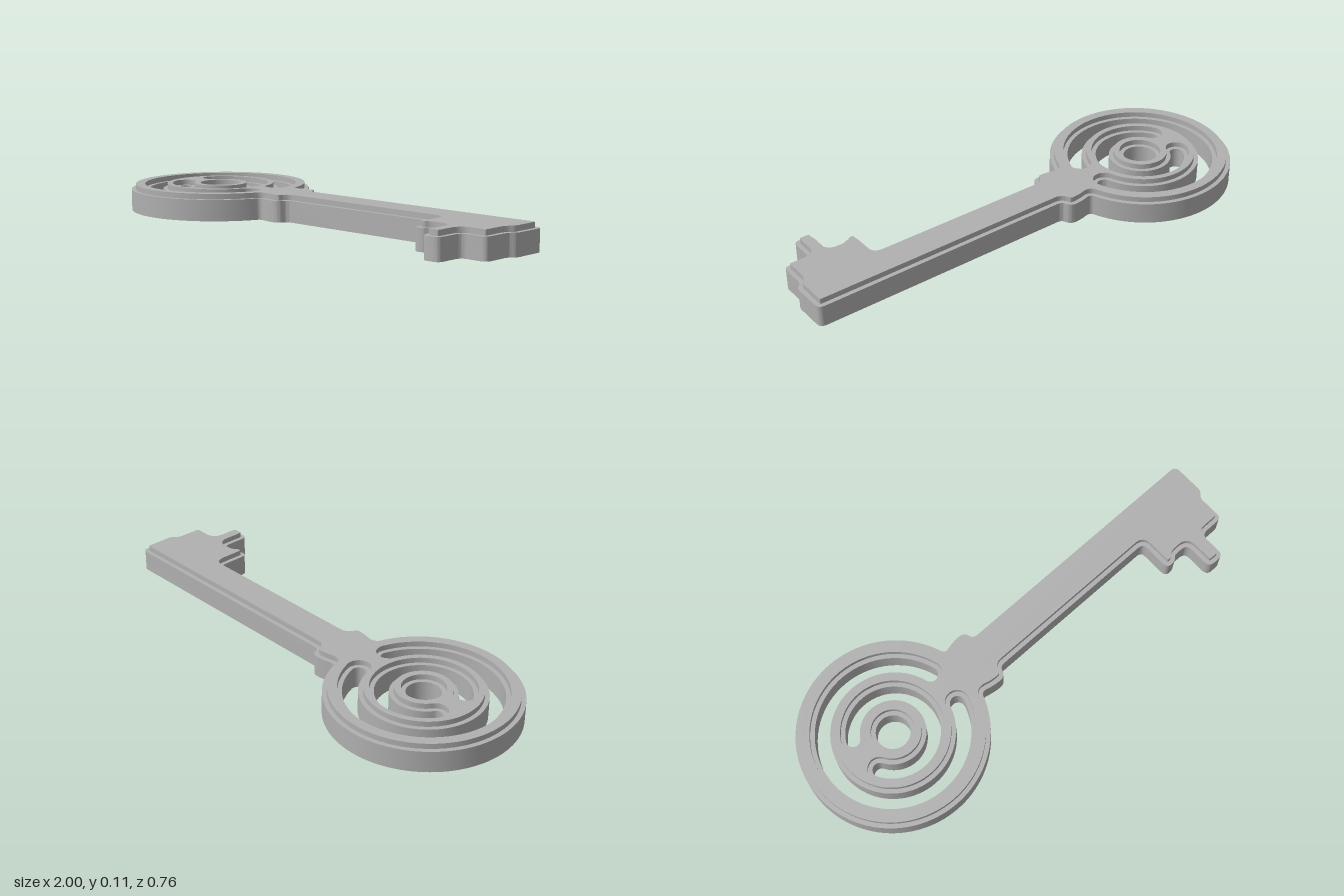
import * as THREE from 'three';
import { toCreasedNormals } from 'three/addons/utils/BufferGeometryUtils.js';

const BOW_X = -0.62;   // centre of the round bow
const BOW_R = 0.38;
const BASE_H = 0.088;  // height of the wide lower layer
const TOP_H = 0.11;    // height of the raised face
const INSET = 0.018;   // step between the layers

const polar = (r, a) => new THREE.Vector2(BOW_X + r * Math.cos(a), r * Math.sin(a));

// Points along a circle around the bow centre
function arc(r, a0, a1, n) {
  return Array.from({ length: n + 1 }, (_, i) => polar(r, a0 + (a1 - a0) * i / n));
}

// Round off the corners [x, y, radius] of an open path; its end points stay fixed
function roundPath(corners) {
  const v = corners.map(([x, y]) => new THREE.Vector2(x, y));
  const out = [];
  for (let i = 1; i < v.length - 1; i++) {
    const toward = (q) => {
      const d = v[i].distanceTo(q);
      return v[i].clone().lerp(q, Math.min(corners[i][2], d * 0.49) / d);
    };
    const curve = new THREE.QuadraticBezierCurve(toward(v[i - 1]), v[i], toward(v[i + 1]));
    out.push(...curve.getPoints(7));
  }
  return out;
}

// Move a counter-clockwise outline inward by d
function insetOutline(pts, d) {
  const n = pts.length;
  return pts.map((p, i) => {
    const e0 = p.clone().sub(pts[(i + n - 1) % n]).normalize();
    const e1 = pts[(i + 1) % n].clone().sub(p).normalize();
    const n0 = new THREE.Vector2(-e0.y, e0.x);
    const n1 = new THREE.Vector2(-e1.y, e1.x);
    const m = n0.clone().add(n1).normalize();
    return p.clone().addScaledVector(m, d / Math.max(0.6, m.dot(n0)));
  });
}

// C-shaped slot with round ends, interrupted by a bridge at angle mid
function slot(r, half, mid, gap) {
  const a0 = mid + gap, a1 = mid + Math.PI * 2 - gap;
  const cap = (a, from) => {
    const c = polar(r, a);
    return Array.from({ length: 11 }, (_, i) => {
      const t = from + Math.PI * (i + 1) / 12;
      return new THREE.Vector2(c.x + half * Math.cos(t), c.y + half * Math.sin(t));
    });
  };
  return [
    ...arc(r + half, a0, a1, 72), ...cap(a1, a1),
    ...arc(r - half, a1, a0, 72), ...cap(a0, a0 + Math.PI),
  ];
}

// Whole key silhouette, counter-clockwise, drawn with y = -z
function keyOutline() {
  const a = 0.385;
  const ex = BOW_X + BOW_R * Math.cos(a), ey = BOW_R * Math.sin(a);
  const body = roundPath([
    [ex, -ey],
    // collar, near side
    [-0.255, -0.108, 0.03], [-0.205, -0.122, 0.03], [-0.145, -0.125, 0.032], [-0.13, -0.08, 0.02],
    // bit with its teeth
    [0.655, -0.08, 0.025], [0.655, -0.223, 0.028], [0.7, -0.223, 0.028], [0.715, -0.203, 0.02],
    [0.785, -0.203, 0.03], [0.785, -0.335, 0.028], [0.863, -0.335, 0.028], [0.863, -0.213, 0.03],
    [0.975, -0.213, 0.026], [0.975, -0.09, 0.02], [1.0, -0.07, 0.02],
    // tip and far edge of the shank
    [1.0, 0.082, 0.028], [-0.13, 0.08, 0.02],
    // collar, far side
    [-0.145, 0.125, 0.032], [-0.205, 0.122, 0.03], [-0.255, 0.108, 0.03],
    [ex, ey],
  ]);
  return [...body, ...arc(BOW_R, a, Math.PI * 2 - a, 96)];
}

// One layer of the key; grow shrinks the outline and widens the openings
function layer(name, y0, y1, grow, material) {
  const outline = keyOutline();
  const shape = new THREE.Shape(grow ? insetOutline(outline, grow) : outline);
  const openings = [
    slot(0.275, 0.03 + grow, 0, 0.295),
    slot(0.158, 0.028 + grow, Math.PI, 0.53),
    arc(0.068 + grow, 0, Math.PI * 2, 48).slice(0, -1),
  ];
  shape.holes = openings.map((pts) => new THREE.Path(pts));
  const geo = new THREE.ExtrudeGeometry(shape, { depth: y1 - y0, bevelEnabled: false });
  geo.rotateX(-Math.PI / 2);
  geo.translate(0, y0, 0);
  const mesh = new THREE.Mesh(toCreasedNormals(geo, 0.5), material);
  mesh.name = name;
  return mesh;
}

export function createModel() {
  const grey = new THREE.MeshStandardMaterial({ color: 0xb0b0b0 });
  grey.name = 'plain grey';
  const key = new THREE.Group();
  key.name = 'key';
  key.add(layer('keyBase', 0, BASE_H, 0, grey));
  key.add(layer('raisedFace', BASE_H, TOP_H, INSET, grey));
  return key;
}
